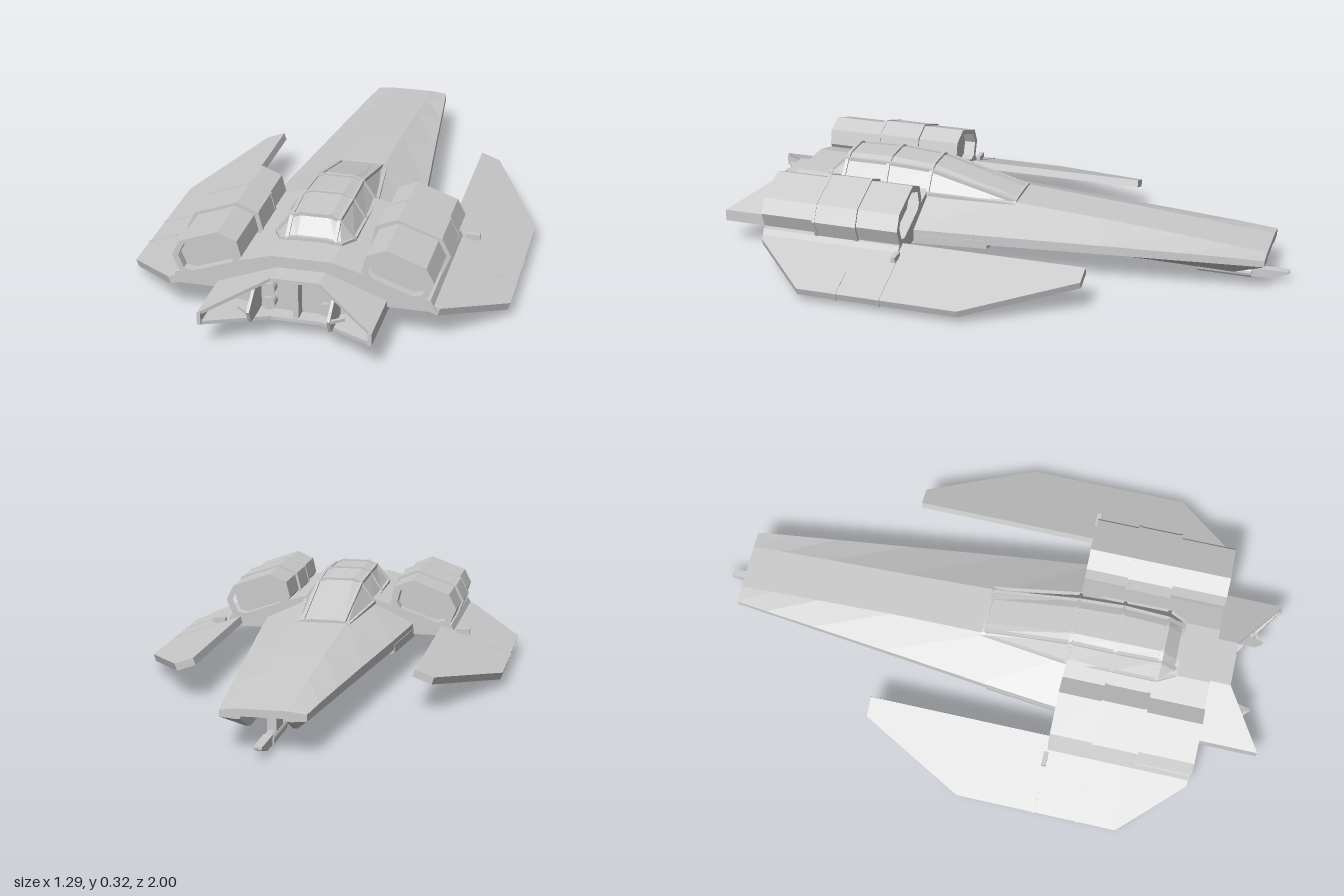
import * as THREE from 'three';

const material = new THREE.MeshStandardMaterial({ color: 0xcccccc, flatShading: true });

// Closed loft through rings of [x, y, z] points; axis is the one the loft runs along.
function loft(rings, axis = 2) {
  const tris = [];
  const n = rings[0].length;
  for (let j = 0; j < rings.length - 1; j++) {
    for (let i = 0; i < n; i++) {
      const k = (i + 1) % n;
      const [a, b, c, d] = [rings[j][i], rings[j][k], rings[j + 1][i], rings[j + 1][k]];
      tris.push([a, b, c], [b, d, c]);
    }
  }
  // end caps
  [rings[0], rings[rings.length - 1]].forEach((ring, end) => {
    const flat = ring.map(p => new THREE.Vector2(...p.filter((_, i) => i !== axis)));
    const turn = Math.sign(THREE.ShapeUtils.area(flat));
    for (const f of THREE.ShapeUtils.triangulateShape(flat, [])) {
      const same = Math.sign(THREE.ShapeUtils.area(f.map(i => flat[i]))) === turn;
      const t = f.map(i => ring[i]);
      if (same !== (end === 1)) t.reverse();
      tris.push(t);
    }
  });
  // turn the skin outwards when its signed volume is negative
  let volume = 0;
  for (const t of tris) {
    const [a, b, c] = t.map(p => new THREE.Vector3(...p));
    volume += a.dot(b.cross(c));
  }
  if (volume < 0) tris.forEach(t => t.reverse());
  const g = new THREE.BufferGeometry();
  g.setAttribute('position', new THREE.Float32BufferAttribute(tris.flat(2), 3));
  g.computeVertexNormals();
  return g;
}

// Full ring from its +x half, which runs from top centre to bottom centre.
function symmetric(half, z) {
  const other = half.slice(1, -1).reverse().map(([x, y]) => [-x, y]);
  return [...half, ...other].map(([x, y]) => [x, y, z]);
}

const flip = (rings, s) => rings.map(r => r.map(([x, y, z]) => [x * s, y, z]));

export function createModel() {
  const model = new THREE.Group();
  const add = (name, geometry, parent = model) => {
    const mesh = new THREE.Mesh(geometry, material);
    mesh.name = name;
    parent.add(mesh);
    return mesh;
  };
  const box = (name, size, pos, parent) =>
    add(name, new THREE.BoxGeometry(...size).translate(...pos), parent);
  const bar = (name, a, b, w = 0.012, parent = model) => {
    const p = new THREE.Vector3(...a), q = new THREE.Vector3(...b);
    const mesh = add(name, new THREE.BoxGeometry(w, w, p.distanceTo(q) + w * 0.6), parent);
    mesh.position.copy(p).lerp(q, 0.5);
    mesh.lookAt(q);
  };

  // Long nose: hollow underneath. Rows: z, top, flat half width, edge half width, edge top, keel x, keel y
  const noseRows = [
    [0.30, 0.235, 0.10, 0.28, 0.15, 0.07, 0.057],
    [0.00, 0.215, 0.085, 0.248, 0.148, 0.07, 0.057],
    [-0.37, 0.19, 0.08, 0.204, 0.145, 0.075, 0.056],
    [-0.64, 0.168, 0.08, 0.173, 0.142, 0.08, 0.055],
    [-0.82, 0.151, 0.08, 0.152, 0.139, 0.085, 0.055],
    [-0.93, 0.142, 0.08, 0.139, 0.135, 0.09, 0.108]];
  add('noseHull', loft(noseRows.map(([z, t, f, w, e, k, b]) => symmetric(
    [[0, t], [f, t], [w, e], [w, 0.113], [k, b], [k - 0.015, b], [k - 0.02, t - 0.025], [0, t - 0.025]], z))));
  for (const z of [-0.04, -0.2, -0.36, -0.63]) box('noseCrossbar', [0.14, 0.05, 0.022], [0, 0.085, z]);

  // Belly and main body
  const belly = [[0, 0.14], [0.28, 0.13], [0.28, 0.1], [0.14, 0.072], [0.06, 0.056], [0, 0.056]];
  const bellyFront = belly.map(([x, y]) => [x * 0.9, y]);
  add('belly', loft([symmetric(belly, 0.8), symmetric(belly, 0.28), symmetric(bellyFront, 0.02)]));
  const body = [[0, 0.245], [0.1, 0.245], [0.19, 0.22], [0.36, 0.16], [0.42, 0.15],
    [0.44, 0.11], [0.28, 0.11], [0.085, 0.2], [0, 0.2]];
  add('mainBody', loft([symmetric(body, 0.785), symmetric(body, 0.28)]));

  // Canopy glass and frame
  const canopyRows = [
    [0.66, 0.10, 0.246, 0.08, 0.25, 0.255],
    [0.60, 0.13, 0.24, 0.08, 0.302, 0.314],
    [0.44, 0.13, 0.235, 0.085, 0.305, 0.318],
    [0.28, 0.13, 0.225, 0.08, 0.295, 0.306],
    [-0.03, 0.09, 0.205, 0.075, 0.213, 0.216]];
  const canopyHalf = ([, w, b, tw, ty, c]) => [[0, c], [tw * 0.6, c], [tw, ty], [w, b], [0, b - 0.02]];
  add('canopyGlass', loft(canopyRows.map(r => symmetric(canopyHalf(r), r[0]))));
  const frame = new THREE.Group();
  frame.name = 'canopyFrame';
  model.add(frame);
  canopyRows.forEach((r, i) => {
    const here = symmetric(canopyHalf(r), r[0]);
    const ribs = [5, 6, 7, 0, 1, 2, 3].filter(k => k !== 0);
    for (let k = 0; k < ribs.length - 1; k++) bar('frameRib', here[ribs[k]], here[ribs[k + 1]], 0.012, frame);
    if (!i) return;
    const prev = symmetric(canopyHalf(canopyRows[i - 1]), canopyRows[i - 1][0]);
    for (const k of [2, 3, 5, 6]) bar('frameRail', prev[k], here[k], 0.012, frame);
  });

  // Swallow-tailed exhaust bay
  box('exhaustCentreRidge', [0.018, 0.14, 0.07], [0, 0.13, 0.82]);
  const tailPlate = [[-0.28, 1], [-0.08, 0.86], [0.08, 0.86], [0.28, 1]];
  const plate = (outer, inner, t) => tailPlate.map(([x, z]) => {
    const y = Math.abs(x) > 0.1 ? outer : inner;
    return [[x, y, z], [x, y - t, z], [x, y - t, 0.72], [x, y, 0.72]];
  });
  add('tailTopPlate', loft(plate(0.132, 0.207, 0.012), 0));
  add('tailBottomPlate', loft(plate(0.102, 0.07, 0.012), 0));
  const bayWall = [[0, 0.2], [0.08, 0.2], [0.27, 0.125], [0.27, 0.1], [0.07, 0.062], [0, 0.062]];
  add('exhaustWall', loft([symmetric(bayWall, 0.81), symmetric(bayWall, 0.76)]));

  const podOutline = [[0.185, 0.23], [0.2, 0.29], [0.27, 0.319], [0.415, 0.267],
    [0.444, 0.21], [0.42, 0.15], [0.36, 0.135], [0.21, 0.19]];
  const scaled = (k, s) => podOutline.map(([x, y]) =>
    new THREE.Vector2(s * (0.315 + (x - 0.315) * k), 0.215 + (y - 0.215) * k));
  const podSection = (k, z0, z1, s, hole) => {
    const shape = new THREE.Shape(scaled(k, s));
    if (hole) shape.holes.push(new THREE.Path(scaled(hole, s)));
    return new THREE.ExtrudeGeometry(shape, { depth: z1 - z0, bevelEnabled: false }).translate(0, 0, z0);
  };
  // Wing slice: slopes down and outwards
  const wingY = x => 0.148 - 0.36 * (x - 0.38);
  const wingRing = (x0, x1, z, r = 0) => [[x0, wingY(x0) + r, z], [x1, wingY(x1) + r, z],
    [x1 - 0.008, wingY(x1) - 0.025 - r, z], [x0 - 0.008, wingY(x0) - 0.025 - r, z]];

  for (const s of [1, -1]) {
    const side = new THREE.Group();
    side.name = s > 0 ? 'leftSide' : 'rightSide';
    model.add(side);

    // Engine pod: three hollow sections around a recessed core
    add('podRearShell', podSection(0.9, 0.58, 0.785, s, 0.74), side);
    add('podBand', podSection(1, 0.435, 0.585, s), side);
    add('podFrontShell', podSection(0.95, 0.28, 0.44, s, 0.76), side);
    add('podCore', podSection(0.75, 0.32, 0.755, s), side);
    for (const z of [0.43, 0.58]) add('podSeamRing', podSection(1.02, z, z + 0.01, s), side);

    // Drooped wing with seam ribs
    const wing = [[0.78, 0.45], [0.57, 0.642], [0, 0.642], [-0.37, 0.45]];
    add('wing', loft(flip(wing.map(([z, x]) => wingRing(0.384, x, z)), s)), side);
    add('wingFrontSeam', loft(flip([0.272, 0.28].map(z => wingRing(0.46, 0.645, z, 0.002)), s)), side);
    add('wingRearSeam', loft(flip([0.428, 0.436].map(z => wingRing(0.54, 0.645, z, 0.002)), s)), side);
    box('wingClip', [0.05, 0.02, 0.016], [s * 0.465, 0.13, 0.278], side);

    // Bay fins, tail side wall and exhaust nozzles
    const fin = x => [[x, 0.185, 0.78], [x, 0.18, 0.87], [x, 0.125, 0.95], [x, 0.08, 0.93], [x, 0.07, 0.78]];
    add('bayFin', loft(flip([fin(0.125), fin(0.135)], s), 0), side);
    bar('bayFinBrace', [s * 0.13, 0.12, 0.94], [s * 0.17, 0.12, 0.91], 0.01, side);
    box('tailSideWall', [0.012, 0.04, 0.28], [s * 0.274, 0.111, 0.86], side);
    for (const y of [0.105, 0.155]) {
      const nozzle = new THREE.CylinderGeometry(0.022, 0.022, 0.04, 16).rotateX(Math.PI / 2);
      add('exhaustNozzle', nozzle.translate(s * 0.093, y, 0.825), side);
    }
  }

  // Chin gun
  const tube = (r, z0, z1, y) =>
    new THREE.CylinderGeometry(r, r, z1 - z0, 16).rotateX(Math.PI / 2).translate(0, y, (z0 + z1) / 2);
  add('gunBody', tube(0.021, -0.87, -0.68, 0.024));
  add('gunBarrel', loft([
    symmetric([[0, 0.044], [0.015, 0.044], [0.015, 0.012], [0, 0.012]], -0.86),
    symmetric([[0, 0.044], [0.015, 0.044], [0.015, 0.014], [0, 0.014]], -0.94),
    symmetric([[0, 0.044], [0.013, 0.044], [0.013, 0.036], [0, 0.036]], -1)]));
  box('gunMount', [0.03, 0.1, 0.09], [0, 0.09, -0.77]);
  return model;
}
